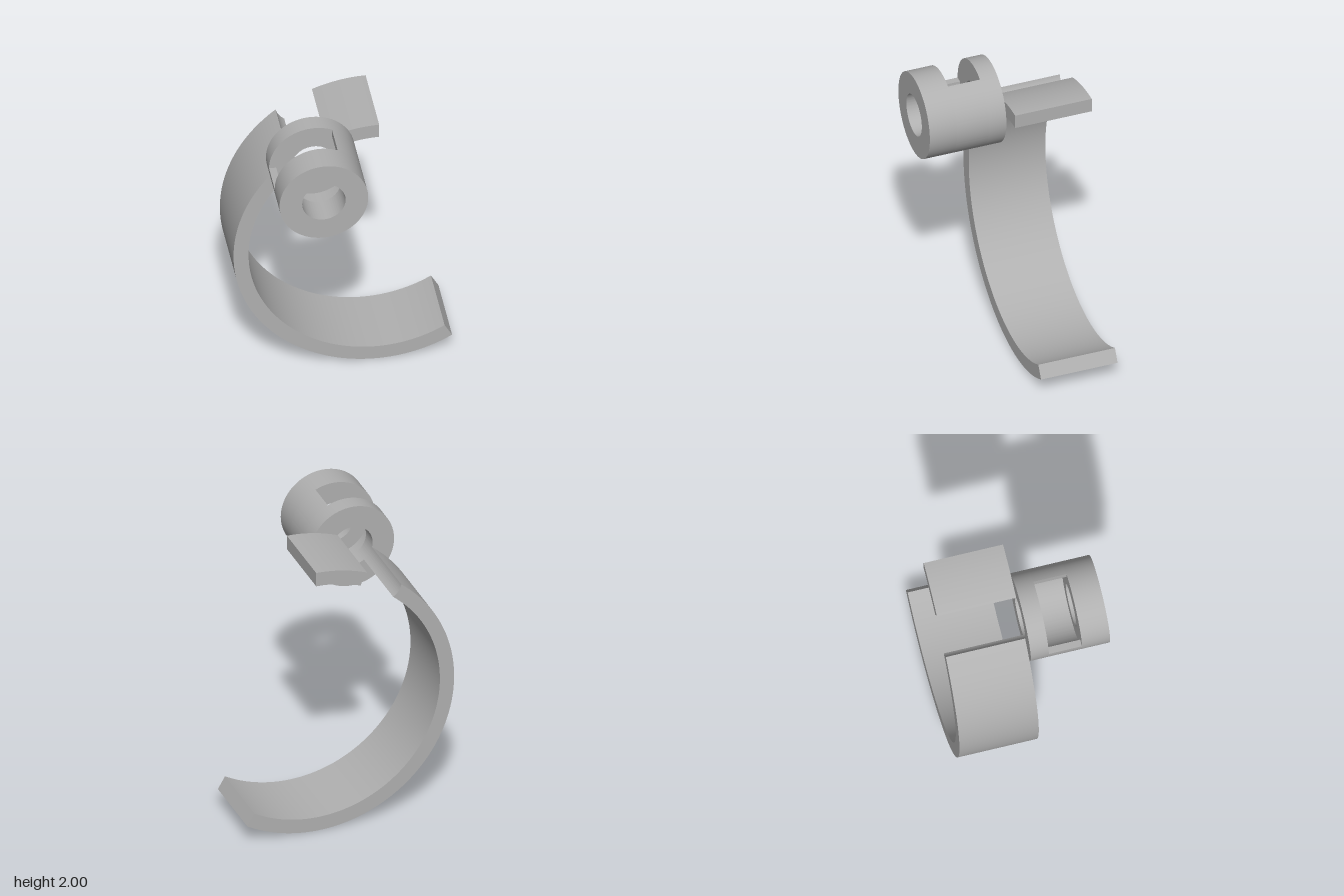
import * as THREE from 'three';
import { toCreasedNormals } from 'three/addons/utils/BufferGeometryUtils.js';

const RING = { x: -0.21, y: 1.714, outer: 0.286, bore: 0.14, cavity: 0.24 };
const HOOK = { x: 0.235, y: 0.94, outer: 0.94, inner: 0.843 };
const DEPTH = 0.52;

export function createModel() {
  const model = new THREE.Group();
  const grey = new THREE.MeshStandardMaterial({ color: 0xb0b0b0 });
  grey.name = 'plain grey';

  // Extrudes a front-view outline between two depths
  function slab(name, shape, z0, z1) {
    const geo = new THREE.ExtrudeGeometry(shape, { depth: z1 - z0, bevelEnabled: false, curveSegments: 64 });
    geo.translate(0, 0, z0);
    const mesh = new THREE.Mesh(toCreasedNormals(geo, 0.6), grey);
    mesh.name = name;
    model.add(mesh);
  }

  // Barrel end walls, pierced by the bore
  function annulus() {
    const s = new THREE.Shape().absarc(RING.x, RING.y, RING.outer, 0, Math.PI * 2, false);
    s.holes.push(new THREE.Path().absarc(RING.x, RING.y, RING.bore, 0, Math.PI * 2, true));
    return s;
  }
  slab('barrelBackWall', annulus(), 0, 0.118);
  slab('barrelFrontWall', annulus(), 0.335, DEPTH);

  // Thin barrel middle, open at the upper side where the window is cut
  const cut = 0.12;
  const middle = new THREE.Shape();
  middle.absarc(RING.x, RING.y, RING.outer, Math.PI, Math.PI * 2 + Math.acos(cut / RING.outer), false);
  middle.absarc(RING.x, RING.y, RING.cavity, Math.PI * 2 + Math.acos(cut / RING.cavity), Math.PI, true);
  middle.closePath();
  slab('barrelWindowSection', middle, 0.118, 0.335);

  // Where the bore crosses the hook: angles about the hook and ring centres
  const dx = RING.x - HOOK.x, dy = RING.y - HOOK.y;
  const dist = Math.hypot(dx, dy), toRing = Math.atan2(dy, dx);
  function crossing(radius, side) {
    const half = Math.acos((dist * dist + radius * radius - RING.bore ** 2) / (2 * dist * radius));
    const a = toRing + side * half;
    const x = HOOK.x + radius * Math.cos(a), y = HOOK.y + radius * Math.sin(a);
    return { a, bore: Math.atan2(y - RING.y, x - RING.x) };
  }

  // Curved strip on either side of the bore, its inner end hollowed by the bore
  function strip(side, endAngle) {
    const o = crossing(HOOK.outer, side), i = crossing(HOOK.inner, side);
    const s = new THREE.Shape();
    s.absarc(HOOK.x, HOOK.y, HOOK.outer, o.a, endAngle, side < 0);
    s.absarc(HOOK.x, HOOK.y, HOOK.inner, endAngle, i.a, side > 0);
    s.absarc(RING.x, RING.y, RING.bore, i.bore, o.bore, side > 0);
    return s;
  }
  slab('hookStrip', strip(1, Math.PI * 5 / 3), -DEPTH, 0);
  slab('topTab', strip(-1, Math.PI / 2), -DEPTH, 0);

  return model;
}
